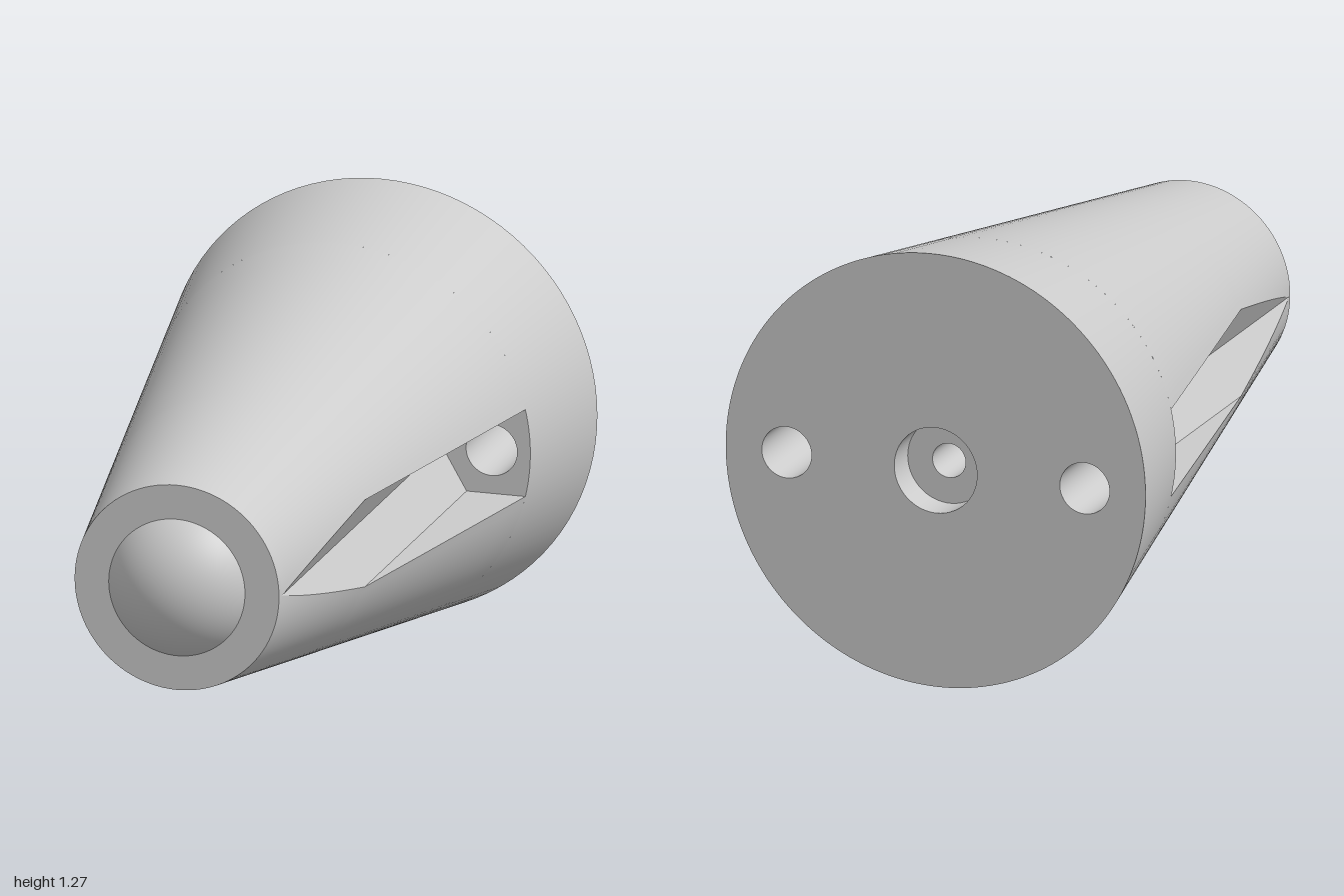
import * as THREE from 'three';

const SEG = 96;
const BACK = -1, SHELF = -0.6, FRONT = 0.9;
const R_BACK = 0.634, R_FRONT = 0.3;
const V = 0.303, HEX = 0.147, HALF = HEX * Math.sqrt(3) / 2; // slot: inner corner, hexagon side, half height
const HOLE_X = V + HEX, HOLE_R = 0.075;
const material = new THREE.MeshStandardMaterial({ color: 0xcccccc });

const slope = (R_FRONT - R_BACK) / (FRONT - BACK);
const radiusAt = z => R_BACK + (z - BACK) * slope;
const zAt = r => BACK + (r - R_BACK) / slope;

function add(group, name, geometry) {
  const mesh = new THREE.Mesh(geometry, material);
  mesh.name = name;
  group.add(mesh);
  return mesh;
}

// Skin over rows of points, each row at a larger z than the last
function skin(rows) {
  const cols = rows[0].length, index = [];
  for (let i = 0; i < rows.length - 1; i++)
    for (let j = 0; j < cols - 1; j++) {
      const a = i * cols + j, c = a + cols;
      index.push(a, a + 1, c, a + 1, c + 1, c);
    }
  const g = new THREE.BufferGeometry();
  g.setAttribute('position', new THREE.Float32BufferAttribute(rows.flat(2), 3));
  g.setIndex(index);
  g.computeVertexNormals();
  return g;
}

// Revolve [radius, z] pairs about the z axis
const turned = profile => new THREE.LatheGeometry(
  profile.map(([r, z]) => new THREE.Vector2(r, z)), SEG).rotateX(Math.PI / 2);

// Wall of a bore, facing its axis
const bore = (r, z0, z1, x = 0) => turned([[r, z1], [r, z0]]).translate(x, 0, 0);

// Upper rim of the slot, where its walls break through the cone
function rim(z) {
  const r = radiusAt(z);
  const s = Math.max(0, (-V + Math.sqrt(Math.max(0, 4 * r * r - 3 * V * V))) / 2);
  return s < HEX ? [V + s / 2, s * HALF / HEX] : [Math.sqrt(r * r - HALF * HALF), HALF];
}

const circlePath = (r, x = 0) => new THREE.Path().absarc(x, 0, r, 0, Math.PI * 2, true);

export function createModel() {
  const model = new THREE.Group();
  const body = new THREE.Group();
  body.name = 'taperedBody';
  body.position.y = R_BACK;
  model.add(body);

  // Depth stations along the slot: straight part, then the pointed part
  const zCorner = zAt(Math.hypot(V + HEX / 2, HALF)), zTip = zAt(V);
  const straight = [], pointed = [];
  for (let i = 0; i <= 8; i++) straight.push(SHELF + (zCorner - SHELF) * i / 8);
  for (let i = 1; i <= 16; i++) pointed.push(zCorner + (zTip - zCorner) * i / 16);
  const stations = [...straight, ...pointed];

  // Full cone bands behind and ahead of the slots
  add(body, 'rearBand', turned([[R_BACK, BACK], [radiusAt(SHELF), SHELF]]));
  add(body, 'frontBand', turned([[V, zTip], [R_FRONT, FRONT]]));

  // Cone shell between the slots, and one slot on each side
  const shell = skin(stations.map(z => {
    const [x, y] = rim(z), a = Math.atan2(y, x), r = radiusAt(z);
    return Array.from({ length: SEG / 2 + 1 }, (_, j) => {
      const t = a + (Math.PI - 2 * a) * j / (SEG / 2);
      return [r * Math.cos(t), r * Math.sin(t), z];
    });
  }));

  const inner = z => { // outer end of the sloping wall
    const [x, y] = rim(z);
    return x < V + HEX / 2 ? [x, y] : [V + HEX / 2, HALF];
  };
  const slopeUpper = skin(stations.map(z => [[V, 0, z], [...inner(z), z]]));
  const slopeLower = skin(stations.map(z => [[inner(z)[0], -inner(z)[1], z], [V, 0, z]]));
  const flatUpper = skin(straight.map(z => [[V + HEX / 2, HALF, z], [rim(z)[0], HALF, z]]));
  const flatLower = skin(straight.map(z => [[rim(z)[0], -HALF, z], [V + HEX / 2, -HALF, z]]));

  // Shelf closing the slot, pierced by the side hole
  const rShelf = radiusAt(SHELF), aShelf = Math.asin(HALF / rShelf);
  const shelfShape = new THREE.Shape();
  shelfShape.moveTo(V, 0);
  shelfShape.lineTo(V + HEX / 2, -HALF);
  shelfShape.absarc(0, 0, rShelf, -aShelf, aShelf, false);
  shelfShape.lineTo(V + HEX / 2, HALF);
  shelfShape.closePath();
  shelfShape.holes.push(circlePath(HOLE_R, HOLE_X));
  const shelf = new THREE.ShapeGeometry(shelfShape, 48).translate(0, 0, SHELF);
  const sideBore = bore(HOLE_R, BACK, SHELF, HOLE_X);

  for (const [side, turn] of [['left', 0], ['right', Math.PI]]) {
    const half = new THREE.Group();
    half.name = side + 'Side';
    half.rotation.z = turn;
    body.add(half);
    add(half, 'coneShell', shell);
    add(half, 'slotSlopeUpper', slopeUpper);
    add(half, 'slotSlopeLower', slopeLower);
    add(half, 'slotWallUpper', flatUpper);
    add(half, 'slotWallLower', flatLower);
    add(half, 'slotShelf', shelf);
    add(half, 'sideHole', sideBore);
  }

  // Back face with two side holes and the central counterbore
  const backShape = new THREE.Shape().absarc(0, 0, R_BACK, 0, Math.PI * 2, false);
  backShape.holes.push(circlePath(HOLE_R, HOLE_X), circlePath(HOLE_R, -HOLE_X), circlePath(0.125));
  add(body, 'backFace', new THREE.ShapeGeometry(backShape, SEG).rotateY(Math.PI).translate(0, 0, BACK));
  add(body, 'counterbore', bore(0.125, BACK, -0.9));
  add(body, 'counterboreFloor', new THREE.RingGeometry(0.05, 0.125, SEG).rotateY(Math.PI).translate(0, 0, -0.9));
  add(body, 'centreHole', bore(0.05, -0.9, 0.7));
  add(body, 'centreHoleEnd', new THREE.CircleGeometry(0.05, SEG).rotateY(Math.PI).translate(0, 0, 0.7));

  // Front face and the domed nose
  add(body, 'frontFace', new THREE.RingGeometry(0.2, R_FRONT, SEG).translate(0, 0, FRONT));
  const dome = new THREE.SphereGeometry(0.25, SEG, 24, 0, Math.PI * 2, 0, Math.asin(0.8));
  add(body, 'noseDome', dome.rotateX(Math.PI / 2).translate(0, 0, 0.75));

  return model;
}
